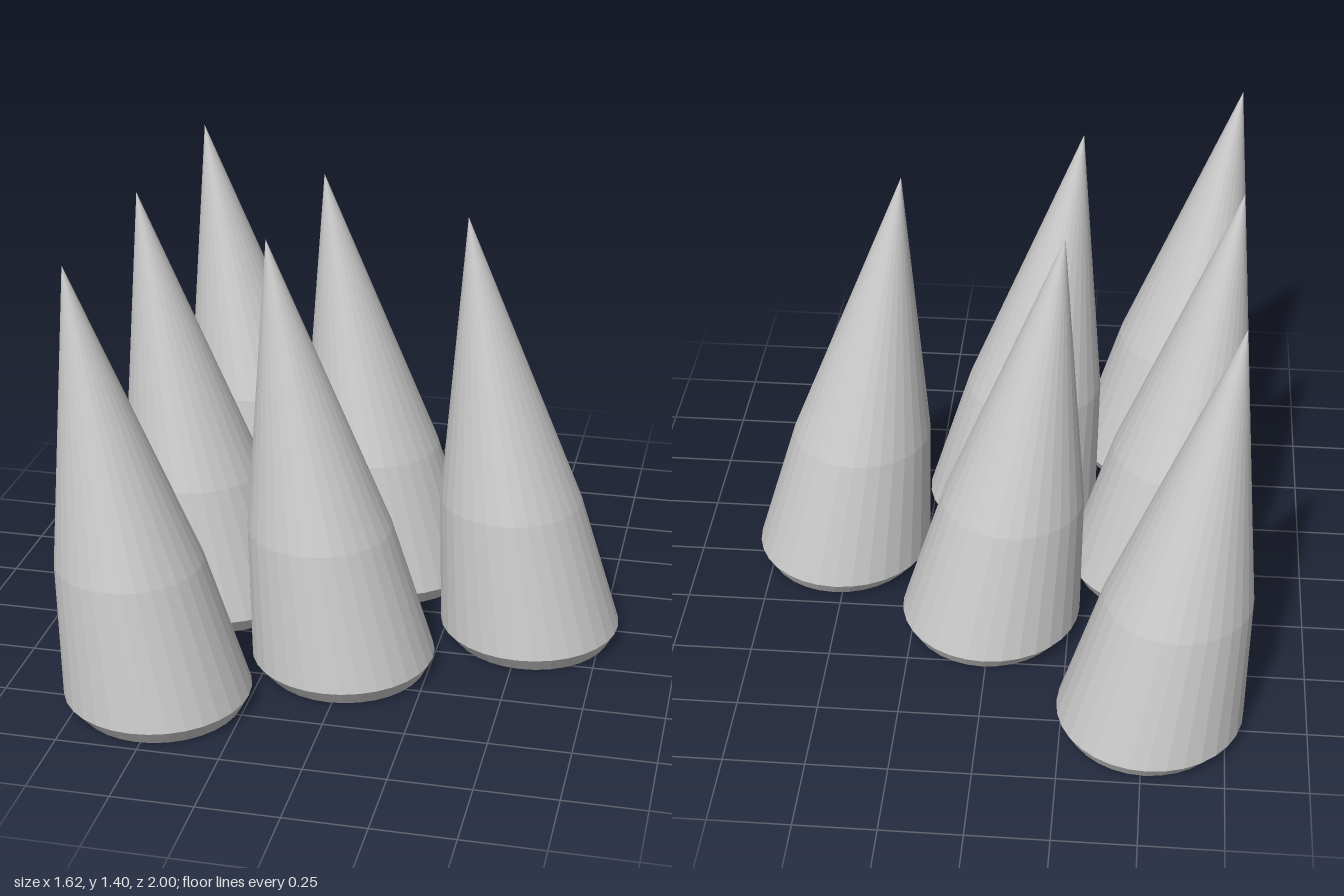
import * as THREE from 'three';

// One leaning spike: a turned profile, sheared sideways with height
function spikeGeometry() {
  const profile = [[0, 0], [0.25, 0], [0.285, 0.05], [0.222, 0.48], [0, 1.4]]
    .map(([r, y]) => new THREE.Vector2(r, y));
  const geometry = new THREE.LatheGeometry(profile, 32);
  const shear = new THREE.Matrix4().set(
    1, -0.159, 0, 0.008,
    0, 1, 0, 0,
    0, 0.03, 1, -0.0015,
    0, 0, 0, 1);
  geometry.applyMatrix4(shear);
  geometry.computeVertexNormals();
  return geometry;
}

export function createModel() {
  const model = new THREE.Group();
  model.name = 'spikeCluster';
  const geometry = spikeGeometry();
  const material = new THREE.MeshStandardMaterial({ color: 0xcccccc, flatShading: true });

  // Triangular arrangement: rows of three, two and one, as [x, z]
  const places = [
    [-0.52, -0.715], [-0.52, 0.035], [-0.52, 0.713],
    [0.002, -0.27], [-0.02, 0.375],
    [0.52, 0.055],
  ];
  places.forEach(([x, z], i) => {
    const spike = new THREE.Mesh(geometry, material);
    spike.name = `spike${i + 1}`;
    spike.position.set(x, 0, z);
    model.add(spike);
  });
  return model;
}
